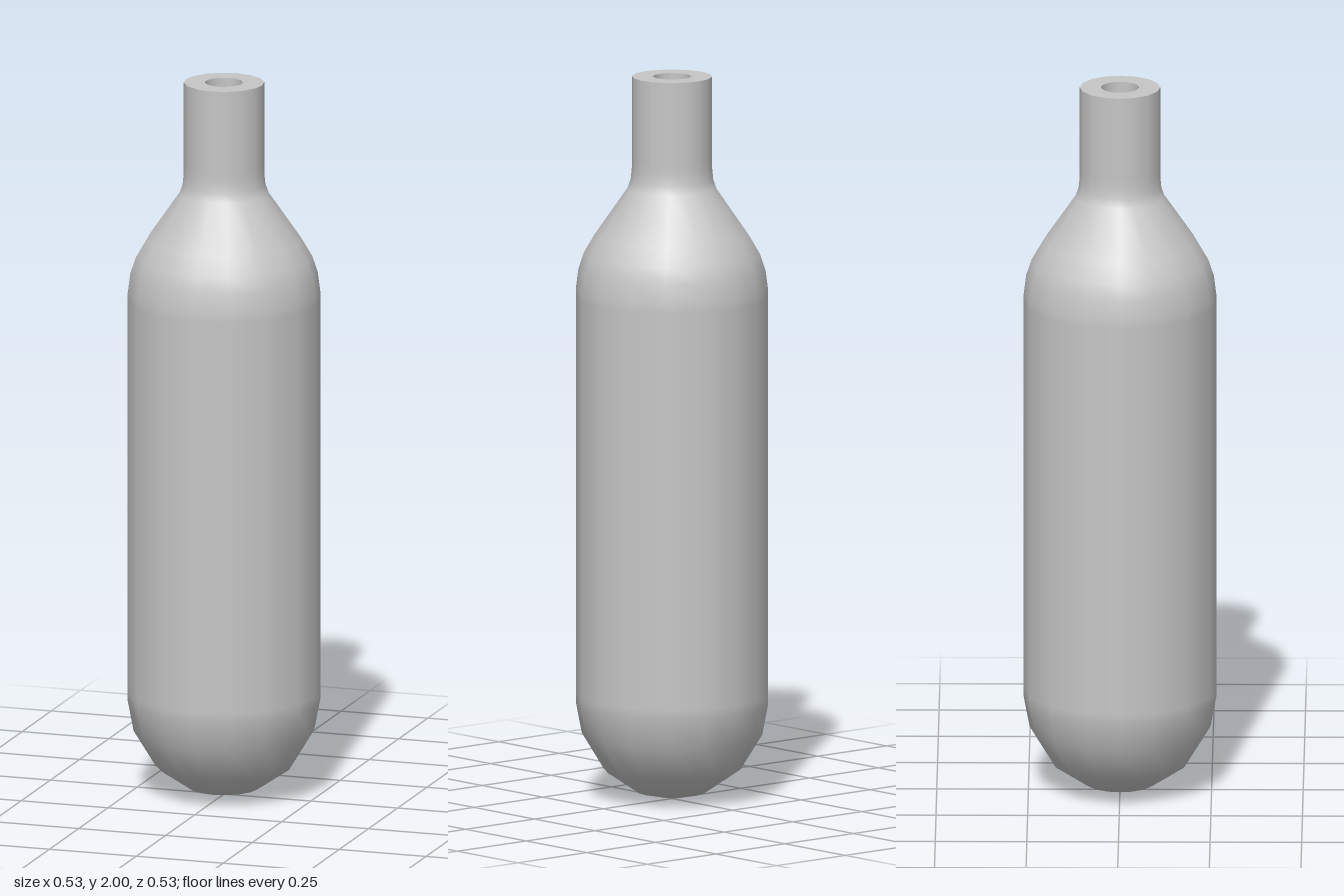
import * as THREE from 'three';

// Surface of revolution; with 16 sides the facets beside each axis are slightly narrower
function turned(points, sides, phiStart = 0) {
  const geo = new THREE.LatheGeometry(points.map(([r, y]) => new THREE.Vector2(r, y)), sides, phiStart);
  if (sides === 16) {
    const pos = geo.attributes.position;
    for (let i = 0; i < pos.count; i++) {
      const x = pos.getX(i), z = pos.getZ(i);
      const r = Math.hypot(x, z);
      let a = Math.atan2(x, z);
      a -= 0.03 * Math.sin(4 * a);
      pos.setX(i, r * Math.sin(a));
      pos.setZ(i, r * Math.cos(a));
    }
  }
  return geo;
}

export function createModel() {
  const group = new THREE.Group();
  group.name = 'gasCartridge';
  const steel = new THREE.MeshStandardMaterial({ color: 0xc6c6c6 });
  steel.name = 'steel grey';

  const add = (name, geo) => {
    const mesh = new THREE.Mesh(geo, steel);
    mesh.name = name;
    group.add(mesh);
  };

  // Outer shell: domed base, straight body, sloped shoulder, narrow neck
  add('shell', turned([
    [0, 0], [0.095, 0.02], [0.187, 0.082], [0.247, 0.18], [0.263, 0.265], [0.263, 0.29],
    [0.263, 1.39], [0.263, 1.41], [0.256, 1.465], [0.241, 1.51], [0.212, 1.56],
    [0.122, 1.69], [0.113, 1.715], [0.11, 1.745], [0.11, 1.77], [0.11, 2],
  ], 16));

  // Flat ring around the mouth
  add('rim', turned([[0.11, 2], [0.052, 2]], 16));

  // Bore through the neck
  add('bore', turned([[0.052, 2], [0.052, 1.72]], 16));

  // Hollow inside, coarser than the bore
  add('cavity', turned([
    [0.052, 1.72], [0.19, 1.5], [0.22, 1.4], [0.22, 0.27],
    [0.205, 0.19], [0.155, 0.11], [0.08, 0.06], [0, 0.045],
  ], 8, Math.PI / 8));

  return group;
}
